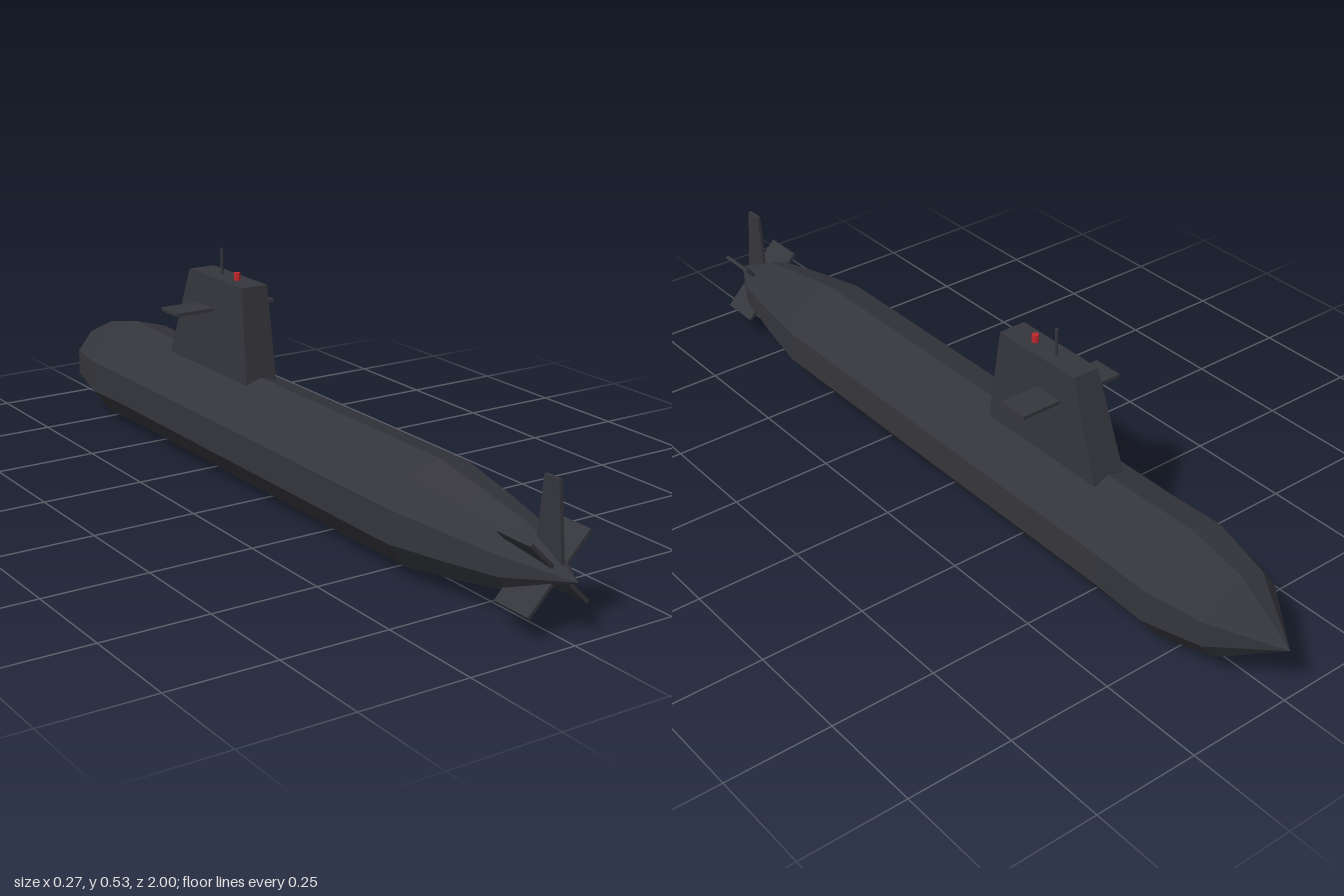
import * as THREE from 'three';

const CENTER_Y = 0.129;

function part(parent, name, geometry, material, x = 0, y = 0, z = 0) {
  const mesh = new THREE.Mesh(geometry, material);
  mesh.name = name;
  mesh.position.set(x, y, z);
  parent.add(mesh);
  return mesh;
}

// Tapered block between two rectangles: halfX, back z, front z at the bottom and top
function taperedBlock(y0, [w0, back0, front0], y1, [w1, back1, front1]) {
  const geometry = new THREE.BoxGeometry(1, 1, 1);
  const p = geometry.attributes.position;
  for (let i = 0; i < p.count; i++) {
    const top = p.getY(i) > 0;
    const w = top ? w1 : w0;
    const z = p.getZ(i) > 0 ? (top ? front1 : front0) : (top ? back1 : back0);
    p.setXYZ(i, Math.sign(p.getX(i)) * w, top ? y1 : y0, z);
  }
  geometry.computeVertexNormals();
  return geometry;
}

export function createModel() {
  const model = new THREE.Group();
  model.name = 'submarine';

  const hullGrey = new THREE.MeshStandardMaterial({ color: 0x35363c, flatShading: true });
  hullGrey.name = 'hullGrey';
  const lampRed = new THREE.MeshStandardMaterial({ color: 0xc0282c, flatShading: true });
  lampRed.name = 'lampRed';

  // Ten-sided hull, slightly flattened, pointed at both ends
  const profile = [
    [0, -1], [0.106, -0.857], [0.14, -0.714], [0.135, -0.571],
    [0.135, 0], [0.134, 0.571], [0.108, 0.714], [0.078, 0.857], [0, 1],
  ].map(([r, z]) => new THREE.Vector2(r, z));
  const hullGeometry = new THREE.LatheGeometry(profile, 10);
  hullGeometry.rotateX(Math.PI / 2);
  hullGeometry.scale(1, 0.915, 1);
  part(model, 'hull', hullGeometry, hullGrey, 0, CENTER_Y, 0);

  // Conning tower with its diving planes, mast and lamp
  const tower = new THREE.Group();
  tower.name = 'conningTower';
  model.add(tower);
  part(tower, 'sail', taperedBlock(0.22, [0.042, -0.472, -0.107], 0.466, [0.034, -0.378, -0.136]), hullGrey);
  part(tower, 'divingPlanes', new THREE.BoxGeometry(0.27, 0.008, 0.075), hullGrey, 0, 0.388, -0.302);
  part(tower, 'mast', new THREE.CylinderGeometry(0.0035, 0.0035, 0.08, 8), hullGrey, 0, 0.49, -0.283);
  part(tower, 'lamp', new THREE.CylinderGeometry(0.008, 0.008, 0.02, 8), lampRed, 0, 0.474, -0.214);

  // Stern fins: a tall upright fin and four diagonal rudders
  const tail = new THREE.Group();
  tail.name = 'tailFins';
  tail.position.y = CENTER_Y;
  model.add(tail);
  part(tail, 'uprightFin', taperedBlock(0.02, [0.004, 0.88, 0.957], 0.187, [0.004, 0.897, 0.94]), hullGrey);
  for (let i = 0; i < 4; i++) {
    const rudder = part(tail, 'diagonalRudder',
      taperedBlock(0.015, [0.004, 0.85, 0.95], 0.105, [0.004, 0.85, 0.95]), hullGrey);
    rudder.rotation.z = Math.PI / 4 + i * Math.PI / 2;
  }

  return model;
}
